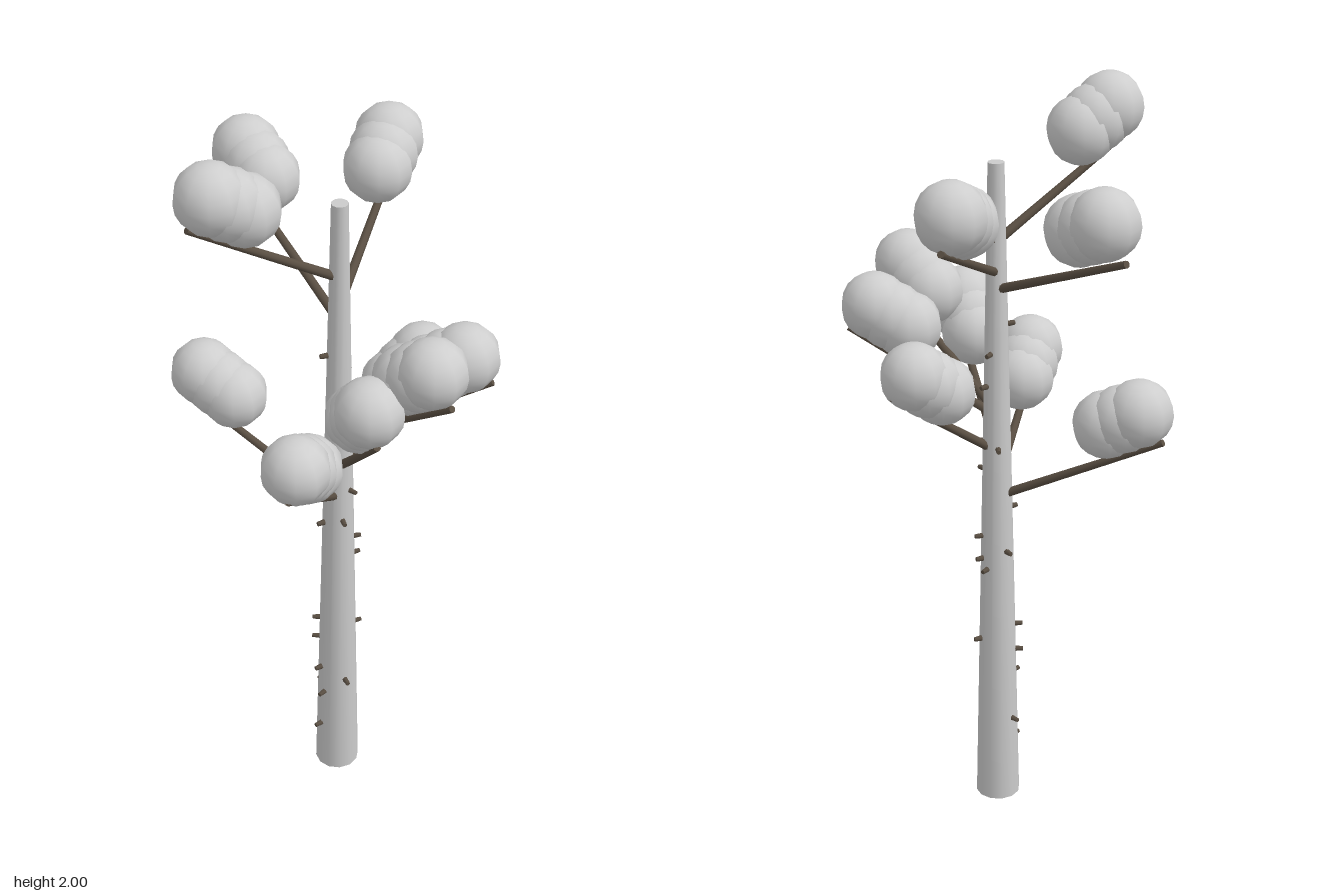
import * as THREE from 'three';

export function createModel() {
  const tree = new THREE.Group();
  tree.name = 'tree';

  const mat = (name, color) => {
    const m = new THREE.MeshStandardMaterial({ color });
    m.name = name;
    return m;
  };
  const bark = mat('paleBark', 0xcacaca);
  const wood = mat('darkWood', 0x5a4f43);
  const leaf = mat('paleLeaf', 0xcecece);

  const trunkZ = 0.055, trunkHeight = 1.815, baseR = 0.06, topR = 0.021;
  const up = new THREE.Vector3(0, 1, 0);

  const add = (name, geometry, material, parent = tree) => {
    const mesh = new THREE.Mesh(geometry, material);
    mesh.name = name;
    parent.add(mesh);
    return mesh;
  };

  // Tapered rod between two points
  const rod = (name, a, b, r0, r1, sides, material, parent) => {
    const dir = b.clone().sub(a);
    const mesh = add(name, new THREE.CylinderGeometry(r1, r0, dir.length(), sides), material, parent);
    mesh.position.copy(a).add(b).multiplyScalar(0.5);
    mesh.quaternion.setFromUnitVectors(up, dir.normalize());
    return mesh;
  };

  // Trunk
  add('trunk', new THREE.CylinderGeometry(topR, baseR, trunkHeight, 12), bark)
    .position.set(0, trunkHeight / 2, trunkZ);

  // Boughs: root height on the trunk, branch tip, centre of the outermost leaf ball
  const boughs = [
    [1.485, [0.027, 1.69, -0.44], [0.024, 1.765, -0.361]],
    [0.91, [-0.2, 1.144, -0.352], [-0.171, 1.213, -0.293]],
    [1.53, [0.374, 1.727, -0.193], [0.315, 1.793, -0.158]],
    [1.61, [-0.38, 1.844, -0.017], [-0.32, 1.911, -0.005]],
    [1.04, [0.305, 1.26, 0.097], [0.24, 1.303, 0.088]],
    [1.14, [0.25, 1.362, 0.345], [0.204, 1.425, 0.291]],
    [1.15, [0.052, 1.415, 0.426], [0.043, 1.485, 0.361]],
    [1.04, [-0.098, 1.314, 0.335], [-0.08, 1.378, 0.28]],
    [0.945, [-0.285, 1.17, 0.23], [-0.237, 1.226, 0.196]],
  ];
  const ball = new THREE.SphereGeometry(0.088, 10, 10).rotateY(Math.PI / 2);
  for (const [rootY, tipAt, ballAt] of boughs) {
    const bough = new THREE.Group();
    bough.name = 'bough';
    tree.add(bough);
    const root = new THREE.Vector3(0, rootY, trunkZ);
    const tip = new THREE.Vector3(...tipAt);
    rod('branch', root, tip, 0.012, 0.009, 8, wood, bough);
    const dir = tip.clone().sub(root).normalize();
    for (let i = 0; i < 3; i++) {
      add('leafBall', ball, leaf, bough)
        .position.set(...ballAt).addScaledVector(dir, -0.0485 * i);
    }
  }

  // Twig stubs: height and angle around the trunk (0 = left side, 90 = front)
  const stubs = [
    [0.155, 180], [0.25, 262], [0.28, 170], [0.334, 103], [0.365, 185], [0.45, 222],
    [0.493, 15], [0.525, 215], [0.71, -12], [0.737, 12], [0.763, 275], [0.8, 22],
    [0.87, 190], [0.89, 110], [0.98, 75], [1.06, -55], [1.07, 40], [1.23, 0],
    [1.32, -20], [1.39, 200], [1.62, -25],
  ];
  for (const [y, degrees] of stubs) {
    const a = THREE.MathUtils.degToRad(degrees);
    const r = THREE.MathUtils.lerp(baseR, topR, y / trunkHeight);
    const at = (d) => new THREE.Vector3(Math.cos(a) * d, y, trunkZ + Math.sin(a) * d);
    rod('twigStub', at(r - 0.015), at(r + 0.019), 0.009, 0.006, 6, wood);
  }

  return tree;
}
